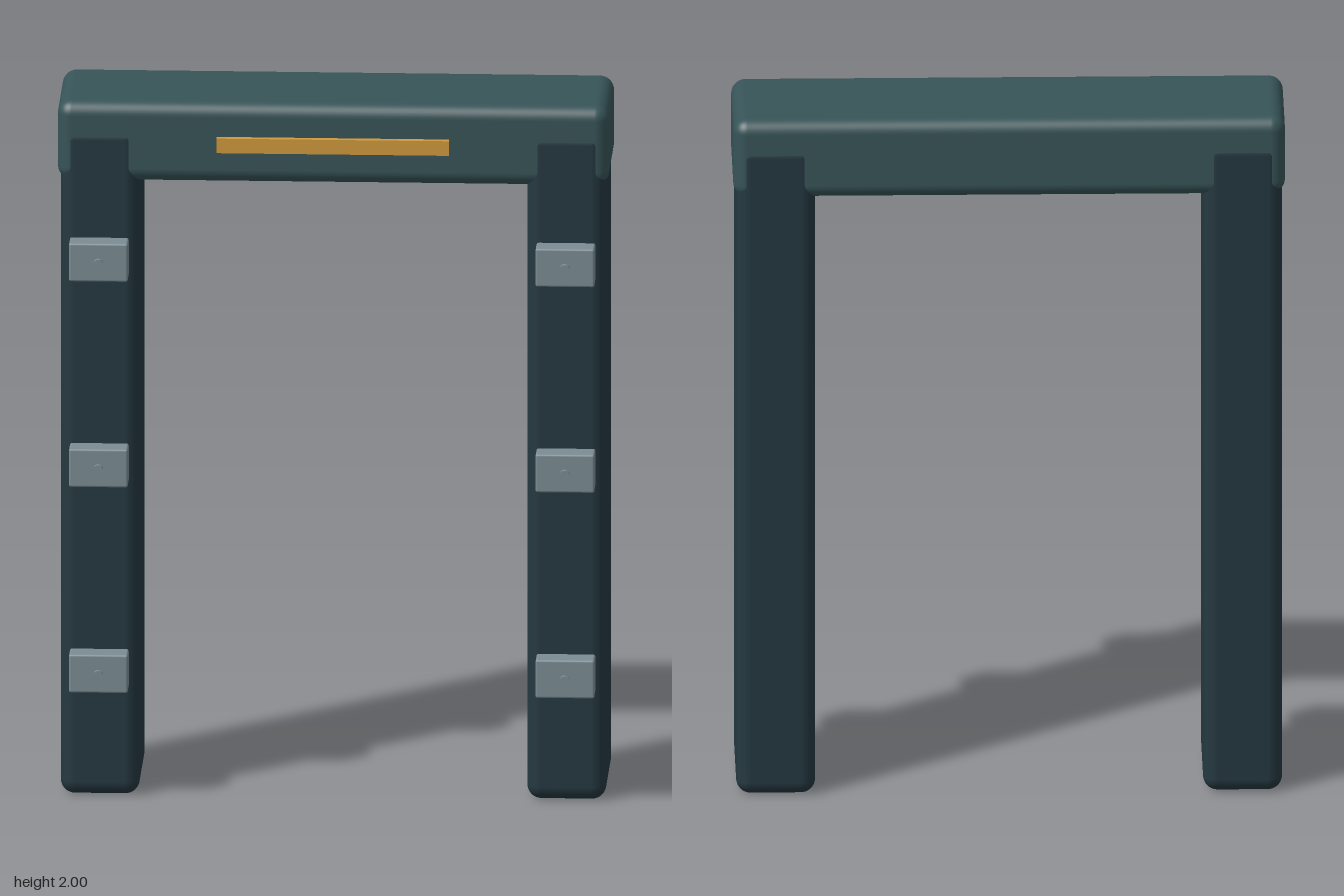
import * as THREE from 'three';
import { RoundedBoxGeometry } from 'three/addons/geometries/RoundedBoxGeometry.js';

const mat = (name, color) => {
  const m = new THREE.MeshStandardMaterial({ color });
  m.name = name;
  return m;
};

export function createModel() {
  const postMat = mat('dark slate', 0x243840);
  const beamMat = mat('slate teal', 0x375458);
  const steelMat = mat('steel grey', 0x7b8c93);
  const brassMat = mat('brass', 0xd09a3c);

  const group = new THREE.Group();
  group.name = 'gateFrame';
  const add = (parent, name, geo, material, x, y, z) => {
    const mesh = new THREE.Mesh(geo, material);
    mesh.name = name;
    mesh.position.set(x, y, z);
    parent.add(mesh);
    return mesh;
  };

  const midZ = -0.053;

  // Cross beam with its brass strip
  add(group, 'crossBeam', new RoundedBoxGeometry(1.536, 0.23, 0.384, 5, 0.04), beamMat, 0, 1.885, midZ);
  add(group, 'brassStrip', new THREE.BoxGeometry(0.648, 0.042, 0.019), brassMat, 0, 1.885, 0.152);

  // Shared geometry: posts stand a hair proud of the beam faces
  const postGeo = new RoundedBoxGeometry(0.22, 1.93, 0.387, 5, 0.04);
  const blockGeo = new RoundedBoxGeometry(0.164, 0.11, 0.072, 3, 0.006);
  const stemGeo = new THREE.CylinderGeometry(0.009, 0.009, 0.012, 16).rotateX(Math.PI / 2);
  const headGeo = new THREE.CylinderGeometry(0.014, 0.014, 0.013, 20).rotateX(Math.PI / 2);

  for (const [side, s] of [['left', 1], ['right', -1]]) {
    add(group, side + 'Post', postGeo, postMat, s * 0.65, 0.965, midZ);

    // Three bolted blocks floating just ahead of each post
    [0.375, 0.968, 1.561].forEach((y, i) => {
      const clamp = new THREE.Group();
      clamp.name = side + 'Clamp' + (i + 1);
      clamp.position.set(s * 0.65, y, 0);
      add(clamp, 'block', blockGeo, steelMat, 0, 0, 0.19);
      add(clamp, 'boltStem', stemGeo, steelMat, 0, 0, 0.228);
      add(clamp, 'boltHead', headGeo, steelMat, 0, 0, 0.2375);
      group.add(clamp);
    });
  }
  return group;
}
